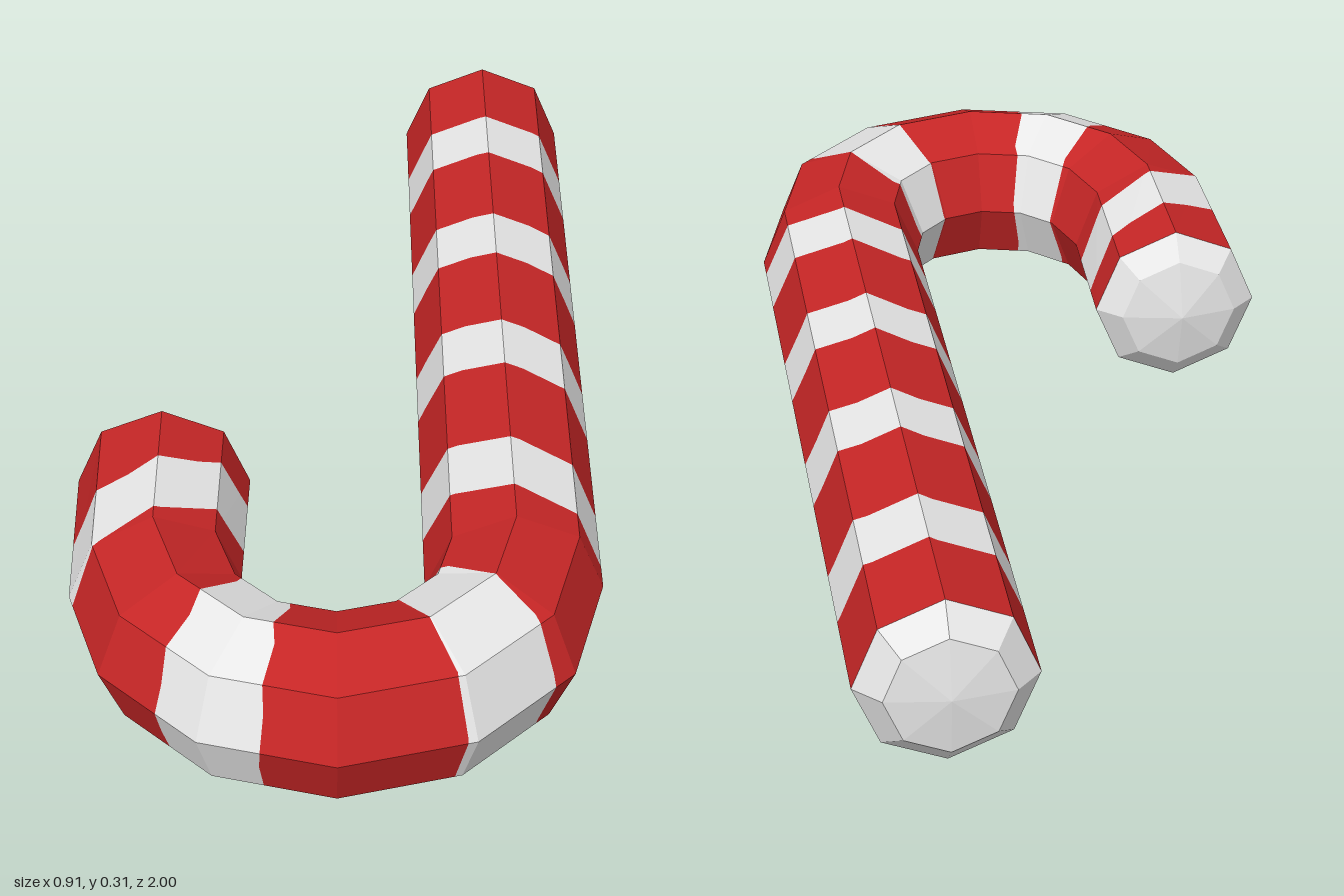
import * as THREE from 'three';

const SIDES = 8;
const R = 0.1525;     // tube radius
const BEND = 0.303;   // radius of the hook's centre line
const BEND_Z = 0.54;  // centre of the hook
const WHITE = 0.38;   // white share of each stripe period

const red = new THREE.MeshStandardMaterial({ color: 0xc62626, flatShading: true });
red.name = 'candy red';
const white = new THREE.MeshStandardMaterial({ color: 0xf0f0f0, flatShading: true });
white.name = 'sugar white';

// Octagonal ring between an inner and an outer point [x, z];
// every vertex also carries a stripe phase blended from inner to outer.
function ring(inner, outer, radius, phaseIn = 0, phaseOut = 0) {
  const points = [];
  for (let j = 0; j < SIDES; j++) {
    const a = (j / SIDES) * Math.PI * 2;
    const t = (1 + Math.cos(a)) / 2;
    const mix = (p, q) => p + (q - p) * t;
    points.push([
      mix(inner[0], outer[0]),
      R + radius * Math.sin(a),
      mix(inner[1], outer[1]),
      mix(phaseIn, phaseOut),
    ]);
  }
  return points;
}

// Triangles joining consecutive rings
function skin(rings) {
  const tris = [];
  for (let i = 0; i + 1 < rings.length; i++) {
    for (let j = 0; j < SIDES; j++) {
      const k = (j + 1) % SIDES;
      const [a, b, c, d] = [rings[i][j], rings[i][k], rings[i + 1][k], rings[i + 1][j]];
      tris.push([a, b, c], [a, c, d]);
    }
  }
  return tris;
}

// Keep the part of a polygon whose phase is above (sign 1) or below (sign -1) a value
function clip(poly, value, sign) {
  const out = [];
  poly.forEach((p, i) => {
    const q = poly[(i + 1) % poly.length];
    const dp = (p[3] - value) * sign;
    const dq = (q[3] - value) * sign;
    if (dp >= 0) out.push(p);
    if (dp * dq < 0) out.push(p.map((v, n) => v + (q[n] - v) * (dp / (dp - dq))));
  });
  return out;
}

function band(tris, from, to) {
  return tris.map((t) => clip(clip(t, from, 1), to, -1)).filter((p) => p.length > 2);
}

function polygonMesh(name, polys, material) {
  const positions = [];
  const tri = new THREE.Triangle();
  for (const p of polys) {
    for (let i = 1; i + 1 < p.length; i++) {
      const corners = [p[0], p[i], p[i + 1]];
      tri.set(...corners.map((c) => new THREE.Vector3(c[0], c[1], c[2])));
      if (tri.getArea() < 1e-9) continue;
      corners.forEach((c) => positions.push(c[0], c[1], c[2]));
    }
  }
  const geometry = new THREE.BufferGeometry();
  geometry.setAttribute('position', new THREE.Float32BufferAttribute(positions, 3));
  geometry.computeVertexNormals();
  const mesh = new THREE.Mesh(geometry, material);
  mesh.name = name;
  return mesh;
}

// Ring square to z, used for the straight ends
const endRing = (x, z, radius, side, pin, pout) =>
  ring([x - side * radius, z], [x + side * radius, z], radius, pin, pout);

export function createModel() {
  const group = new THREE.Group();
  group.name = 'candyCane';

  // Tube: straight shaft, half-circle hook, short return leg
  const tube = [endRing(0.303, -0.94, R, 1, 0.48, 0.48)];
  const phases = [[4.74, 4.52], [5.08, 4.91], [5.4, 5.35], [5.73, 5.77], [6.05, 6.19], [6.4, 6.65]];
  phases.forEach(([pin, pout], i) => {
    const a = (i * Math.PI) / 6;
    const at = (r) => [Math.cos(a) * r, BEND_Z + Math.sin(a) * r];
    tube.push(ring(at(BEND - R), at(BEND + R), R, pin, pout));
  });
  tube.push(ring([-0.162, 0.515], [-0.455, 0.565], R, 6.79, 7.05));
  tube.push(endRing(-0.305, 0.24, R, -1, 7.61, 7.84));

  // Stripes cut from the tube
  const tris = skin(tube);
  for (let n = 0; n < 8; n++) {
    if (n > 0) group.add(polygonMesh(`whiteStripe${n}`, band(tris, n, n + WHITE), white));
    group.add(polygonMesh(`redStripe${n}`, band(tris, n + WHITE, n + 1), red));
  }

  // Domed caps
  group.add(polygonMesh('shaftCap', skin([
    endRing(0.303, -1, 0, 1),
    endRing(0.303, -0.985, 0.108, 1),
    endRing(0.303, -0.94, R, 1),
  ]), white));
  group.add(polygonMesh('hookCap', skin([
    endRing(-0.305, 0.24, R, -1),
    endRing(-0.305, 0.2, 0.108, -1),
    endRing(-0.308, 0.178, 0, -1),
  ]), white));

  return group;
}
